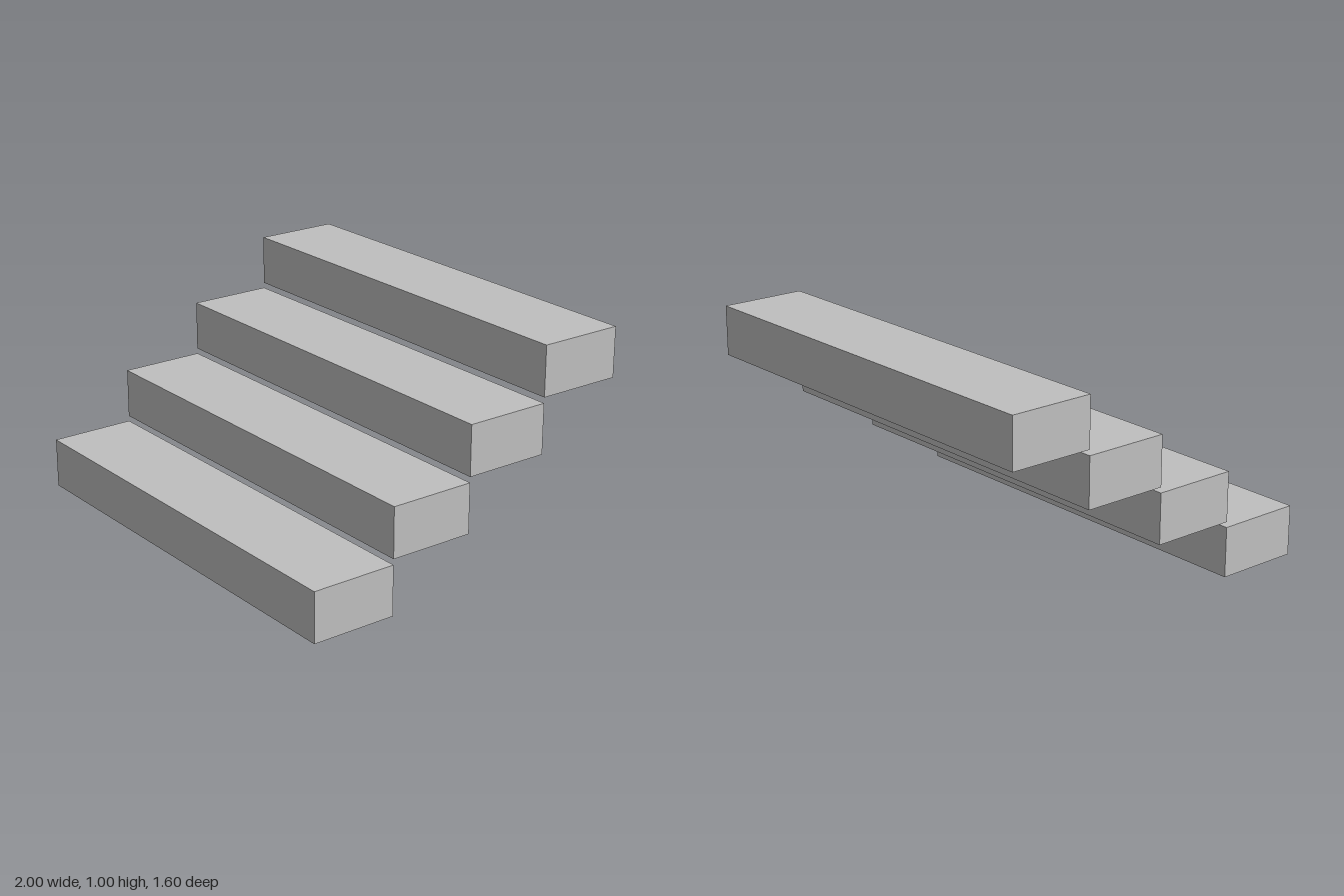
import * as THREE from 'three';

export function createModel() {
  const model = new THREE.Group();
  model.name = 'floatingStairs';

  const stone = new THREE.MeshStandardMaterial({ color: 0xbfbfbf });
  stone.name = 'light grey';

  const count = 4;
  const depth = 0.4;
  const rise = 1 / 3.9;       // distance from one step to the next
  const height = rise * 0.9;  // leaves a thin gap between steps
  const geometry = new THREE.BoxGeometry(2, height, depth);

  // Solid steps climbing from the front to the back
  for (let i = 0; i < count; i++) {
    const step = new THREE.Mesh(geometry, stone);
    step.name = `step${i + 1}`;
    step.position.set(0, height / 2 + i * rise, ((count - 1) / 2 - i) * depth);
    model.add(step);
  }

  return model;
}
